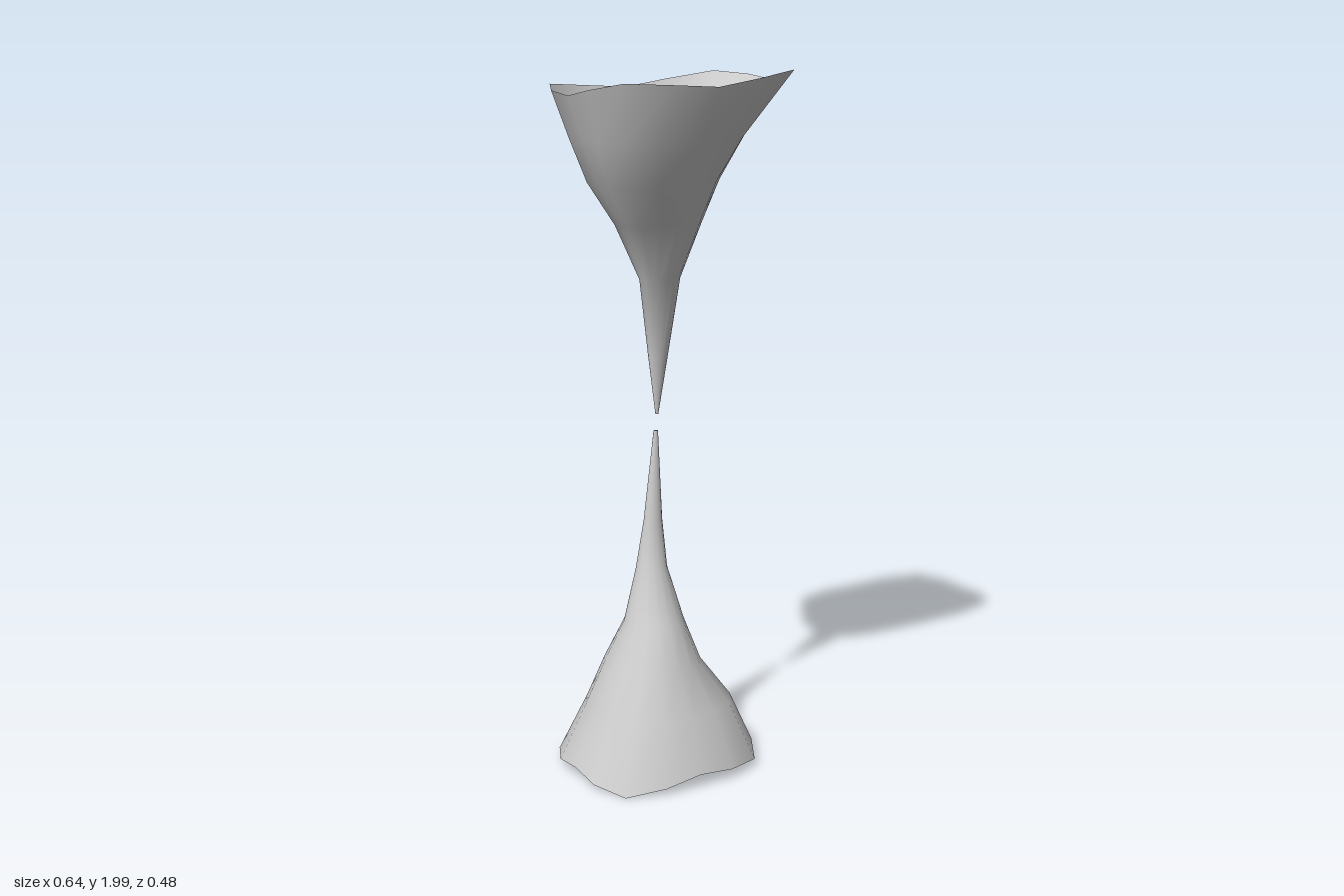
import * as THREE from 'three';

const SIDES = 16;

// Cross-sections: [y, xMin, xMax, zMin, zMax, squareness on -x side, squareness on +x side]
const UPPER = [
  [1.03, -0.012, -0.004, -0.068, -0.058, 2, 2],
  [1.20, -0.036, 0.025, -0.08, -0.04, 2, 2],
  [1.42, -0.064, 0.060, -0.091, -0.016, 2.4, 2],
  [1.58, -0.15, 0.10, -0.107, 0.072, 3.2, 2],
  [1.70, -0.228, 0.145, -0.153, 0.132, 3.5, 2],
  [1.82, -0.277, 0.206, -0.19, 0.187, 3.5, 2.3],
  [1.953, -0.32, 0.32, -0.238, 0.242, 3.8, 3.8],
];
const LOWER = [
  [0.055, -0.32, 0.227, -0.24, 0.237, 3.2, 3],
  [0.19, -0.245, 0.178, -0.197, 0.17, 2.5, 2.3],
  [0.31, -0.188, 0.09, -0.16, 0.12, 2.3, 2],
  [0.43, -0.128, 0.047, -0.115, 0.06, 2, 2],
  [0.58, -0.078, 0.016, -0.097, -0.016, 2, 2],
  [0.72, -0.05, 0.006, -0.085, -0.04, 2, 2],
  [0.98, -0.015, -0.001, -0.073, -0.065, 2, 2],
];

// Lofts a smooth open shell; the rim ring tilts and its four corners flare by "lift"
function shell(name, rows, rim, lift, tiltX, tiltZ) {
  const pos = [], index = [];
  rows.forEach(([y, x0, x1, z0, z1, nNeg, nPos], r) => {
    for (let i = 0; i < SIDES; i++) {
      const a = (i / SIDES) * Math.PI * 2;
      const c = Math.cos(a), s = Math.sin(a), n = c < 0 ? nNeg : nPos;
      const k = Math.pow(Math.abs(c) ** n + Math.abs(s) ** n, -1 / n);
      const u = c * k, v = s * k;
      const corner = Math.abs(Math.sin(2 * a)) ** 2;
      const dy = r === rim ? lift * corner + tiltX * u + tiltZ * v : 0;
      pos.push((x0 + x1) / 2 + (u * (x1 - x0)) / 2, y + dy, (z0 + z1) / 2 + (v * (z1 - z0)) / 2);
    }
  });
  for (let r = 0; r < rows.length - 1; r++) {
    for (let i = 0; i < SIDES; i++) {
      const j = (i + 1) % SIDES;
      const a = r * SIDES + i, b = r * SIDES + j, c = a + SIDES, d = b + SIDES;
      index.push(a, c, b, b, c, d);
    }
  }
  const geometry = new THREE.BufferGeometry();
  geometry.setAttribute('position', new THREE.Float32BufferAttribute(pos, 3));
  geometry.setIndex(index);
  geometry.computeVertexNormals();
  const mesh = new THREE.Mesh(
    geometry,
    new THREE.MeshStandardMaterial({ color: 0xcccccc, side: THREE.DoubleSide })
  );
  mesh.name = name;
  return mesh;
}

export function createModel() {
  const group = new THREE.Group();
  group.name = 'stalactiteAndStalagmite';
  // Hanging funnel, open at the top
  group.add(shell('upperFunnel', UPPER, UPPER.length - 1, 0.027, 0.0125, 0.0125));
  // Standing spire, open at the bottom
  group.add(shell('lowerSpire', LOWER, 0, -0.03, 0.0125, -0.01));
  return group;
}
